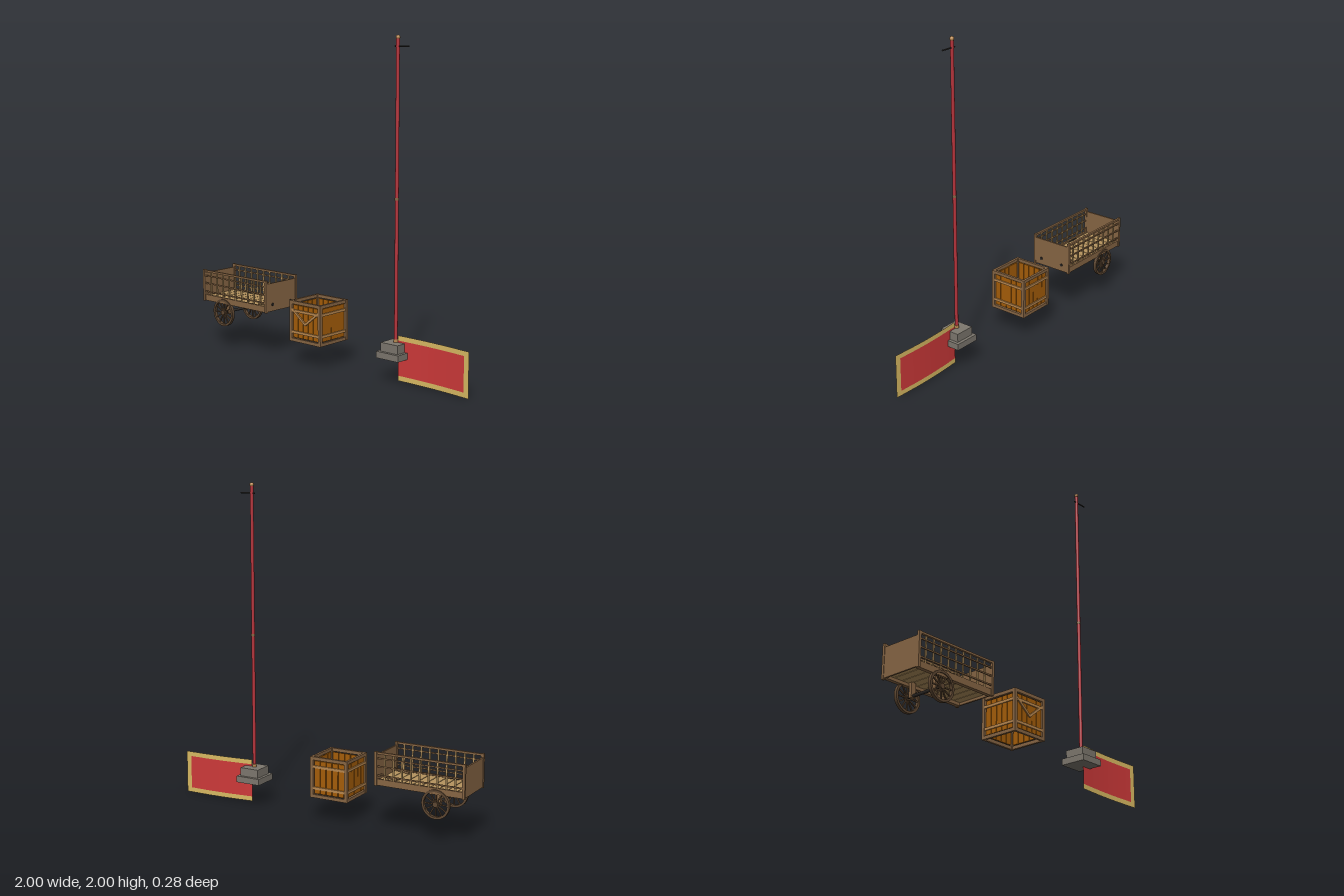
import * as THREE from 'three';
import { toCreasedNormals } from 'three/addons/utils/BufferGeometryUtils.js';

const mat = (name, color, side = THREE.FrontSide) => {
  const m = new THREE.MeshStandardMaterial({ color, side });
  m.name = name;
  return m;
};

export function createModel() {
  const M = {
    wood: mat('brown wood', 0x886644),
    tan: mat('tan planks', 0xb6945f),
    dark: mat('dark wheel wood', 0x5f4832),
    iron: mat('black iron', 0x2e2a27),
    crate: mat('orange crate wood', 0xa65e08),
    batten: mat('pale batten wood', 0xb98850),
    stone: mat('grey stone', 0x7e786f),
    pole: mat('pole red', 0xb4323a),
    red: mat('flag red', 0xd03a3a, THREE.DoubleSide),
    gold: mat('flag gold', 0xdcbc64, THREE.DoubleSide),
  };
  const model = new THREE.Group();

  const group = (name, parent = model) => {
    const g = new THREE.Group();
    g.name = name;
    parent.add(g);
    return g;
  };
  const add = (parent, name, geo, material, x = 0, y = 0, z = 0) => {
    const m = new THREE.Mesh(geo, material);
    m.name = name;
    m.position.set(x, y, z);
    parent.add(m);
    return m;
  };
  // Box given by its limits on each axis
  const box = (parent, name, material, x0, x1, y0, y1, z0, z1) =>
    add(parent, name, new THREE.BoxGeometry(x1 - x0, y1 - y0, z1 - z0), material,
      (x0 + x1) / 2, (y0 + y1) / 2, (z0 + z1) / 2);
  const cyl = (r, h, n = 16) => new THREE.CylinderGeometry(r, r, h, n);

  // ---------- Cart ----------
  const cart = group('cart');
  const X0 = -1, X1 = -0.431, pitch = (X1 - X0 - 0.014) / 10;

  // Floor planks with narrow gaps
  for (let i = 0; i < 10; i++) {
    const x = X0 + 0.007 + i * pitch;
    box(cart, 'floorPlank', M.tan, x + 0.002, x + pitch - 0.002, 0.308, 0.318, -0.122, 0.122);
  }
  // Beams beneath the floor
  for (const z of [-0.115, 0.115])
    box(cart, 'floorBeam', M.wood, -0.985, -0.445, 0.29, 0.308, z - 0.008, z + 0.008);

  // Lattice sides
  for (const s of [-1, 1]) {
    const side = group('latticeSide', cart);
    const slab = (name, m, x0, x1, y0, y1, zc, t) =>
      box(side, name, m, x0, x1, y0, y1, s * zc - t / 2, s * zc + t / 2);
    slab('sill', M.wood, X0 + 0.005, X1 - 0.005, 0.29, 0.328, 0.125, 0.014);
    slab('topRail', M.wood, X0, X1, 0.478, 0.49, 0.132, 0.014);
    for (const y of [0.35, 0.404, 0.452])
      slab('rail', M.wood, X0, X1, y - 0.004, y + 0.004, 0.132, 0.008);
    for (let i = 1; i < 10; i++) {
      const x = X0 + 0.007 + i * pitch;
      slab('slat', M.tan, x - 0.005, x + 0.005, 0.325, 0.48, 0.126, 0.006);
    }
    for (const x of [X0, X1 - 0.016])
      slab('cornerPost', M.wood, x, x + 0.016, 0.288, 0.492, 0.132, 0.016);
    // Iron strap over the axle
    slab('axleStrap', M.iron, -0.857, -0.783, 0.316, 0.323, 0.117, 0.008);
  }

  // Solid end boards
  for (const x of [X0 + 0.003, X1 - 0.013])
    box(cart, 'endBoard', M.wood, x, x + 0.01, 0.293, 0.47, -0.126, 0.126);

  // Shaft brackets and bolts at the front end
  for (const z of [-0.08, 0.08]) {
    const bracket = box(cart, 'shaftBracket', M.wood, -0.55, -0.44, 0.326, 0.338, z - 0.008, z + 0.008);
    bracket.rotation.z = 0.12;
    const bolt = add(cart, 'bolt', cyl(0.009, 0.008, 10), M.iron, X1 - 0.001, 0.335, z);
    bolt.rotation.z = Math.PI / 2;
  }

  // Axle and spoked wheels
  const ax = -0.82, ay = 0.233, R = 0.087;
  add(cart, 'axle', cyl(0.009, 0.25, 12), M.iron, ax, ay, 0).rotation.x = Math.PI / 2;
  for (const z of [-0.09, 0.09])
    box(cart, 'axleBlock', M.wood, ax - 0.016, ax + 0.016, ay - 0.012, 0.308, z - 0.01, z + 0.01);
  const rimProfile = [[R - 0.014, -0.01], [R, -0.01], [R, 0.01], [R - 0.014, 0.01], [R - 0.014, -0.01]];
  const rimGeo = toCreasedNormals(
    new THREE.LatheGeometry(rimProfile.map(p => new THREE.Vector2(...p)), 32), 0.6);
  for (const s of [-1, 1]) {
    const wheel = group('wheel', cart);
    wheel.position.set(ax, ay, s * 0.128);
    wheel.rotation.x = Math.PI / 2;
    add(wheel, 'rim', rimGeo, M.dark);
    add(wheel, 'hub', cyl(0.016, 0.024), M.dark);
    for (let i = 0; i < 12; i++) {
      const a = i * Math.PI / 6, r = 0.044;
      const spoke = add(wheel, 'spoke', new THREE.BoxGeometry(0.062, 0.007, 0.007), M.dark,
        r * Math.cos(a), 0, r * Math.sin(a));
      spoke.rotation.y = -a;
    }
  }

  // ---------- Crate, open at top and bottom ----------
  const crate = group('crate');
  crate.position.set(-0.119, 0.273, 0);
  const H = 0.126, T = 0.02;
  for (let k = 0; k < 4; k++) {
    const face = group('crateSide', crate);
    face.rotation.y = k * Math.PI / 2;
    box(face, 'cornerPost', M.wood, -H, -H + T, -H, H, H - T, H);
    for (const y of [-H, H - T])
      box(face, 'frameRail', M.wood, -H + T, H - T, y, y + T, H - 0.016, H - 0.001);
    // Upright planks
    for (let i = 0; i < 5; i++) {
      const x = -0.1 + i * 0.0408;
      box(face, 'plank', M.crate, x, x + 0.037, -0.101, 0.101, H - 0.016, H - 0.008);
    }
    // Cross battens
    for (const y of [-0.067, 0.065])
      box(face, 'batten', M.batten, -H + T, H - T, y - 0.008, y + 0.008, H - 0.009, H - 0.001);
    // V-shaped brace on the front
    if (k === 0) for (const s of [-1, 1]) {
      const brace = add(face, 'brace', new THREE.BoxGeometry(0.138, 0.014, 0.008), M.batten,
        s * 0.052, 0.032, H - 0.004);
      brace.rotation.z = s * 0.67;
    }
  }

  // ---------- Flagpole ----------
  const pole = group('flagpole');
  const px = 0.483;
  box(pole, 'lowerPlinth', M.stone, px - 0.082, px + 0.082, 0.147, 0.186, -0.082, 0.082);
  box(pole, 'upperPlinth', M.stone, px - 0.063, px + 0.063, 0.186, 0.238, -0.063, 0.063);
  add(pole, 'shaft', cyl(0.0105, 1.74), M.pole, px, 1.108, 0);
  add(pole, 'baseCollar', cyl(0.014, 0.018), M.batten, px, 0.247, 0);
  add(pole, 'middleCollar', cyl(0.0125, 0.014), M.wood, px, 1.073, 0);
  add(pole, 'finial', new THREE.SphereGeometry(0.013, 16, 12), M.batten, px, 1.987, 0);
  add(pole, 'crossArm', cyl(0.0045, 0.1, 8), M.iron, px + 0.028, 1.937, 0).rotation.z = Math.PI / 2;

  // ---------- Flag hanging beside the pole ----------
  const flag = group('flag');
  const cloth = (name, material, x0, x1, y0, y1) => {
    const g = new THREE.PlaneGeometry(x1 - x0, y1 - y0, Math.ceil((x1 - x0) * 40), 4);
    g.translate((x0 + x1) / 2, (y0 + y1) / 2, 0);
    const p = g.attributes.position;
    // Gentle billow and a slight droop towards the free end
    for (let i = 0; i < p.count; i++) {
      const u = (p.getX(i) - 0.5) / 0.5;
      p.setZ(i, -0.01 * Math.sin(Math.PI * u));
      p.setY(i, p.getY(i) - 0.01 * u);
    }
    g.computeVertexNormals();
    add(flag, name, g, material);
  };
  cloth('field', M.red, 0.5, 0.965, 0.041, 0.25);
  cloth('topBorder', M.gold, 0.5, 0.965, 0.25, 0.28);
  cloth('bottomBorder', M.gold, 0.5, 0.965, 0.011, 0.041);
  cloth('endBorder', M.gold, 0.965, 1, 0.011, 0.28);

  return model;
}
